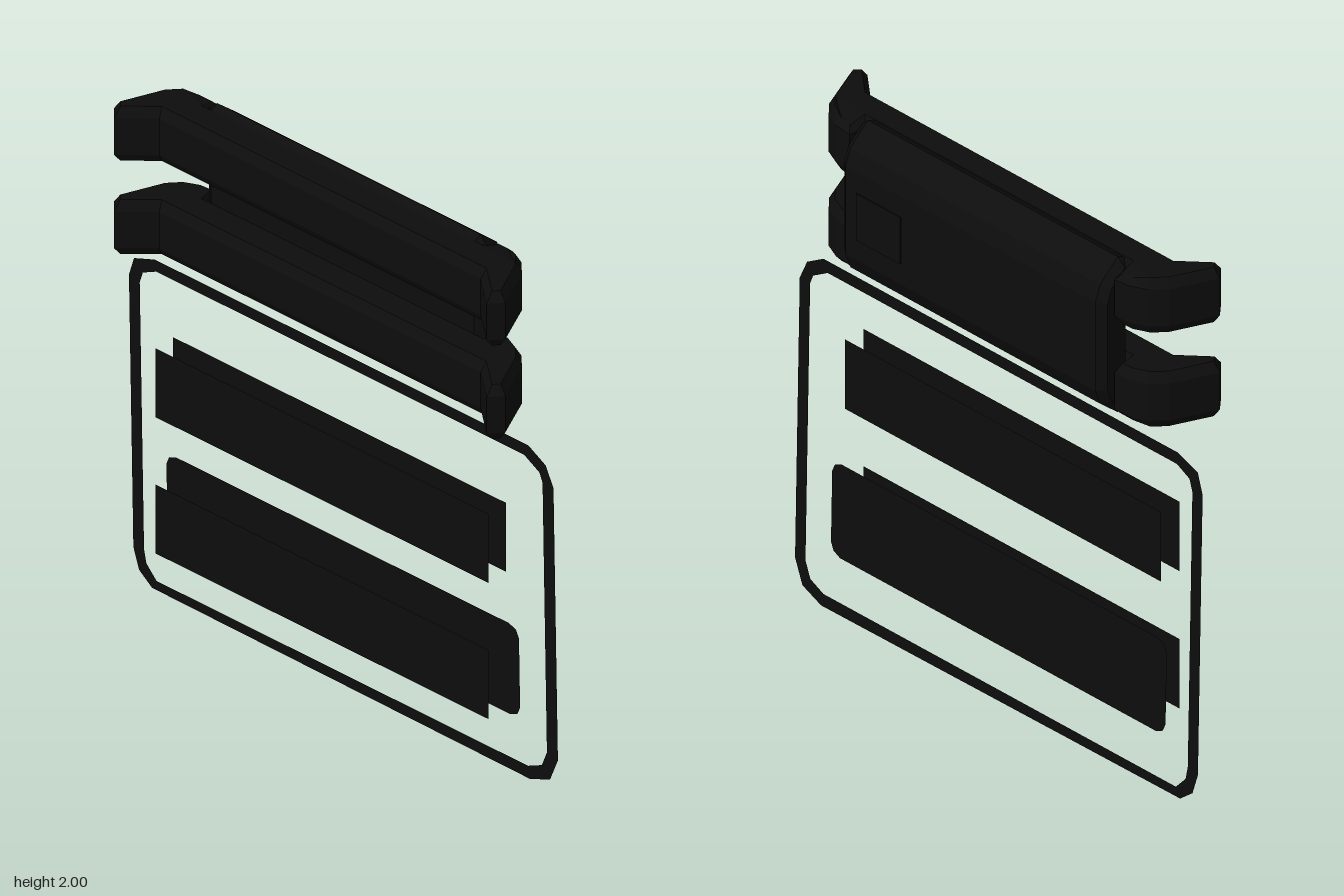
import * as THREE from 'three';

const CX = -0.015; // centre line of the clip

function shapeFrom(points) {
  return new THREE.Shape(points.map(([x, y]) => new THREE.Vector2(x, y)));
}

// Mirrors one half of an outline across x = 0 to close it
function mirrored(half) {
  return [...half, ...half.map(([x, y]) => [-x, y]).reverse()];
}

export function createModel() {
  const black = new THREE.MeshStandardMaterial({ color: 0x0d0d0d, side: THREE.DoubleSide });
  black.name = 'matte black';
  const group = new THREE.Group();
  const add = (name, geometry, x = 0, y = 0, z = 0) => {
    const mesh = new THREE.Mesh(geometry, black);
    mesh.name = name;
    mesh.position.set(x, y, z);
    group.add(mesh);
    return mesh;
  };

  // Clip body: chamfered profile (z, y) run along x, with bevelled ends
  const profile = shapeFrom([
    [-0.02, 1.415], [-0.05, 1.4], [-0.13, 1.47], [-0.152, 1.53],
    [-0.152, 1.87], [-0.13, 1.93], [-0.05, 2.0], [-0.02, 1.985],
  ]);
  const body = new THREE.ExtrudeGeometry(profile, {
    depth: 1.13, bevelThickness: 0.03, bevelSize: 0.025, bevelOffset: -0.025, bevelSegments: 1,
  });
  body.translate(0, 0, -0.565).rotateY(-Math.PI / 2);
  add('clipBody', body, CX);

  // Small plate on the back of the body
  add('backPlate', new THREE.BoxGeometry(0.2, 0.18, 0.008), 0.4, 1.7, -0.152);

  // Two clip bars whose ends curl forward into hooks: plan outline (x, z)
  const plan = shapeFrom(mirrored([
    [0.59, -0.04], [0.6, -0.1], [0.665, -0.095], [0.725, -0.068],
    [0.77, -0.02], [0.84, 0.14], [0.8, 0.185], [0.69, 0.09],
  ]));
  for (const [name, y] of [['upperBar', 1.883], ['lowerBar', 1.52]]) {
    const bar = new THREE.ExtrudeGeometry(plan, {
      depth: 0.142, bevelThickness: 0.035, bevelSize: 0.02, bevelOffset: -0.02, bevelSegments: 1,
    });
    bar.translate(0, 0, -0.071).rotateX(Math.PI / 2).translate(0, y, 0);
    // Slope the rear of the bar to follow the body chamfer
    const p = bar.attributes.position;
    for (let i = 0; i < p.count; i++) {
      const limit = 0.3 - Math.max(0, -0.05 - p.getZ(i));
      p.setY(i, 1.7 + THREE.MathUtils.clamp(p.getY(i) - 1.7, -limit, limit));
    }
    bar.computeVertexNormals();
    add(name, bar, CX);
  }

  // Flat sheets lean very slightly: z follows height
  const lean = (geometry) => {
    const p = geometry.attributes.position;
    for (let i = 0; i < p.count; i++) p.setZ(i, -0.022 + 0.02 * p.getY(i));
    geometry.computeVertexNormals();
    return geometry;
  };

  // Thin outline frame
  const frame = shapeFrom([
    [-0.913, 1.21], [-0.913, 0.14], [-0.89, 0.06], [-0.835, 0.014],
    [0.79, 0.002], [0.875, 0.04], [0.91, 0.13], [0.91, 1.2],
    [0.878, 1.275], [0.805, 1.32], [-0.8, 1.32], [-0.89, 1.285],
  ]);
  frame.holes.push(new THREE.Path([
    [-0.867, 1.2], [-0.853, 1.245], [-0.795, 1.275], [0.785, 1.275],
    [0.85, 1.235], [0.863, 1.2], [0.863, 0.14], [0.84, 0.08],
    [0.78, 0.05], [-0.815, 0.05], [-0.858, 0.1], [-0.867, 0.15],
  ].map(([x, y]) => new THREE.Vector2(x, y))));
  add('frame', lean(new THREE.ShapeGeometry(frame)));

  // Lower rounded panel
  const rounded = shapeFrom(mirrored([
    [0.715, 0.22], [0.745, 0.235], [0.757, 0.265],
    [0.757, 0.535], [0.745, 0.565], [0.715, 0.578],
  ]));
  add('roundedPanel', lean(new THREE.ShapeGeometry(rounded)), -0.007);

  // Plain strips: one pair above, one in front of the rounded panel
  for (const [name, y, z] of [
    ['upperStripBack', 0.92, 0.005], ['upperStripFront', 0.92, 0.09], ['lowerStripFront', 0.39, 0.09],
  ]) {
    add(name, new THREE.PlaneGeometry(1.43, 0.268), -0.006, y, z);
  }

  return group;
}
